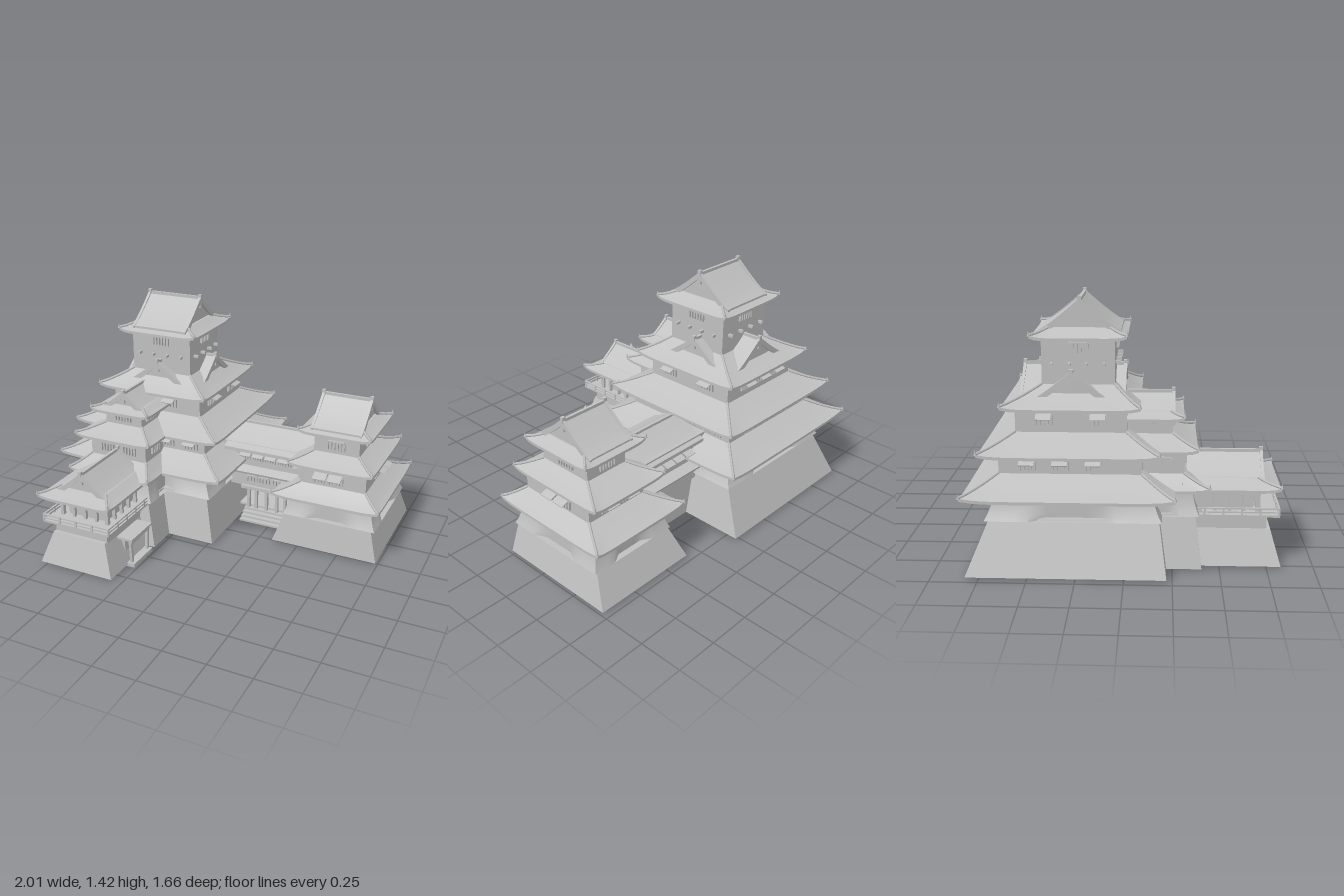
import * as THREE from 'three';
import { toCreasedNormals } from 'three/addons/utils/BufferGeometryUtils.js';

const plaster = new THREE.MeshStandardMaterial({ color: 0xc0c0c0, side: THREE.DoubleSide });
plaster.name = 'pale grey';

export function createModel() {
  const root = new THREE.Group();
  root.name = 'castle';

  const add = (name, geo, parent = root) => {
    const m = new THREE.Mesh(geo, plaster);
    m.name = name;
    parent.add(m);
    return m;
  };
  const box = (name, x0, x1, y0, y1, z0, z1, parent) => {
    const m = add(name, new THREE.BoxGeometry(x1 - x0, y1 - y0, z1 - z0), parent);
    m.position.set((x0 + x1) / 2, (y0 + y1) / 2, (z0 + z1) / 2);
    return m;
  };
  const mix = (a, b, t) => a.map((v, i) => v + (b[i] - v) * t);

  // Skin over stacked rectangles r = [x0, x1, z0, z1], closed on top; lift raises corners, flare widens them
  function loft(rings, n = 1, closeBottom = true) {
    const pos = [], idx = [], per = 4 * n;
    for (const { r, y, lift = 0, flare = 0 } of rings) {
      for (let j = 0; j < per; j++) {
        const side = Math.floor(j / n), t = (j % n) / n, s = Math.abs(2 * t - 1);
        const f = s > 0.45 ? flare : 0;
        const c = [[r[0] - f, r[3] + f], [r[1] + f, r[3] + f], [r[1] + f, r[2] - f], [r[0] - f, r[2] - f]];
        const [x, z] = mix(c[side], c[(side + 1) % 4], t);
        pos.push(x, y + lift * s ** 8, z);
      }
    }
    for (let i = 0; i < rings.length - 1; i++) {
      for (let j = 0; j < per; j++) {
        const a = i * per + j, b = i * per + (j + 1) % per;
        idx.push(a, b, b + per, a, b + per, a + per);
      }
    }
    const q = (rings.length - 1) * per;
    idx.push(q, q + n, q + 2 * n, q, q + 2 * n, q + 3 * n);
    if (closeBottom) idx.push(0, 2 * n, n, 0, 3 * n, 2 * n);
    const g = new THREE.BufferGeometry();
    g.setAttribute('position', new THREE.Float32BufferAttribute(pos, 3));
    g.setIndex(idx);
    return toCreasedNormals(g, 0.6);
  }

  // Hollow battered base, open underneath
  const stoneBase = (b, t, y1) => add('stoneBase', loft([{ r: b, y: 0.012 }, { r: t, y: y1 }], 1, false));
  const wall = (r, y0, y1) => box('wall', r[0], r[1], y0, y1, r[2], r[3]);
  const skirtWall = (r, y0, y1, f) => add('skirtWall', loft(
    [[0, 1], [0.2, 0.6], [0.45, 0.25], [0.75, 0], [1, 0]].map(([t, k]) => ({ r, y: y0 + (y1 - y0) * t, flare: f * k })), 12));

  // Curved hipped eave from outer rectangle e up to inner rectangle t, with hip ridges
  function eaveRoof(e, t, y0, y1) {
    const lift = 0.014, slope = [];
    for (let k = 0; k <= 5; k++) {
      const u = k / 5;
      slope.push({ r: mix(e, t, u), y: y0 + 0.016 + (y1 - y0 - 0.016) * u ** 1.15, lift: lift * (1 - u) ** 2 });
    }
    add('eaveRoof', loft([{ r: t, y: y0 + 0.012 }, { r: e, y: y0, lift }, ...slope], 16));
    for (const i of [0, 1]) for (const j of [2, 3]) {
      const pts = slope.map(({ r, y, lift: l }) => new THREE.Vector3(r[i], y + l + 0.004, r[j]));
      add('hipRidge', new THREE.TubeGeometry(new THREE.CatmullRomCurve3(pts), 8, 0.008, 5));
      const knob = add('hipEndTile', new THREE.ConeGeometry(0.009, 0.03, 5));
      knob.position.copy(pts[0]).y += 0.008;
    }
  }

  // Concave gable strip, ridge along z; from half width w at y0 up to y1
  function gableShape(w, h, thick) {
    const up = [], down = [];
    for (let i = -6; i <= 6; i++) {
      const t = i / 6, y = h * (1 - Math.abs(t)) ** 1.18;
      up.push(new THREE.Vector2(w * t, y));
      down.unshift(new THREE.Vector2(w * t, thick ? y - thick : -0.01));
    }
    return new THREE.Shape([...up, ...down]);
  }
  function gable(alongX, cx, cz, len, w, y0, y1, trim = true) {
    const g = new THREE.Group();
    g.name = 'gableRoof';
    const ext = (name, shape, depth, z) => {
      const geo = new THREE.ExtrudeGeometry(shape, { depth, bevelEnabled: false });
      add(name, toCreasedNormals(geo, 0.5), g).position.z = z - depth / 2;
    };
    const h = y1 - y0 - 0.012;
    ext('gableTiles', gableShape(w, h, 0.02), len, 0);
    ext('gableWall', gableShape(w * 0.9, h * 0.9 - 0.005, 0), len - 0.05, 0);
    box('ridge', -0.008, 0.008, h - 0.008, h + 0.01, -len / 2, len / 2, g);
    if (trim) for (const s of [-1, 1]) {
      const z = s * (len / 2 - 0.008);
      ext('bargeBoard', gableShape(w * 1.02, h + 0.012, 0.036), 0.016, z);
      box('ridgeEndTile', -0.01, 0.01, h - 0.01, h + 0.022, z - 0.01, z + 0.01, g);
      box('gablePendant', -0.012, 0.012, h - 0.06, h - 0.02, z - 0.007, z + 0.007, g);
    }
    g.position.set(cx, y0, cz);
    if (alongX) g.rotation.y = Math.PI / 2;
    root.add(g);
  }

  // Barred window facing dir (0 front, 1 left, 2 back, 3 right), with optional propped shutter
  function latticeWindow(x, y, z, dir, w = 0.08, shutter = true, h = 0.05) {
    const g = new THREE.Group();
    g.name = 'latticeWindow';
    box('lintel', -w / 2, w / 2, h / 2, h / 2 + 0.006, -0.005, 0.014, g);
    const n = Math.max(3, Math.round(w / 0.02));
    for (let i = 0; i <= n; i++) {
      const bx = -w / 2 + (w * i) / n;
      box('bar', bx - 0.005, bx + 0.005, -h / 2, h / 2, -0.004, 0.014, g);
    }
    if (shutter) {
      const s = box('shutter', -w / 2, w / 2, h / 2 - 0.002, h / 2 + 0.003, 0, 0.06, g);
      s.rotation.x = 0.35;
    }
    g.position.set(x, y, z);
    g.rotation.y = dir * Math.PI / 2;
    root.add(g);
  }
  // Rows of windows on chosen faces of a wall
  function windows(r, y, faces, w = 0.08, shutter = true) {
    for (const [dir, list] of Object.entries(faces)) for (const p of list) {
      const d = Number(dir);
      if (d % 2) latticeWindow(d === 1 ? r[1] : r[0], y, p, d, w, shutter);
      else latticeWindow(p, y, d === 0 ? r[3] : r[2], d, w, shutter);
    }
  }

  // Main keep
  const k2 = [-0.82, -0.08, -0.65, 0.09], k3 = [-0.74, -0.15, -0.57, 0.01], k4 = [-0.635, -0.245, -0.44, -0.055];
  stoneBase([-0.97, 0.03, -0.82, 0.22], [-0.865, -0.025, -0.7, 0.18], 0.3);
  skirtWall([-0.845, -0.045, -0.68, 0.15], 0.29, 0.45, 0.045);
  eaveRoof([-1, 0.09, -0.825, 0.26], k2, 0.425, 0.53);
  wall(k2, 0.44, 0.66);
  eaveRoof([-0.92, 0.03, -0.745, 0.18], k3, 0.63, 0.73);
  wall(k3, 0.64, 0.88);
  eaveRoof([-0.805, -0.09, -0.64, 0.08], k4, 0.848, 0.96);
  wall(k4, 0.86, 1.22);
  gable(false, -0.445, -0.28, 0.56, 0.22, 0.885, 1.045);
  gable(true, -0.445, -0.28, 0.54, 0.22, 0.885, 1.045);
  eaveRoof([-0.69, -0.185, -0.495, 0.01], [-0.61, -0.27, -0.4, -0.08], 1.197, 1.255);
  gable(true, -0.437, -0.24, 0.36, 0.215, 1.24, 1.41);
  windows(k2, 0.575, { 0: [-0.33, -0.17], 1: [-0.55, -0.4], 2: [-0.7, -0.53, -0.36, -0.19], 3: [-0.5, -0.33, -0.16] });
  windows(k3, 0.795, { 0: [-0.35], 1: [-0.42, -0.14], 2: [-0.58, -0.445, -0.31], 3: [-0.42, -0.14] });
  windows(k4, 1.155, { 0: [-0.44], 1: [-0.245], 2: [-0.44], 3: [-0.245] }, 0.1, false);
  for (let i = 0; i < 4; i++) {
    const x = -0.58 + i * 0.093, z = -0.385 + i * 0.091;
    box('beamEndZ', x - 0.007, x + 0.007, 1.062, 1.078, k4[2] - 0.03, k4[3] + 0.03);
    box('beamEndX', k4[0] - 0.03, k4[1] + 0.03, 1.062, 1.078, z - 0.007, z + 0.007);
  }

  // Front turret joined to the keep
  const f2 = [-0.735, -0.36, -0.1, 0.31], f3 = [-0.66, -0.415, -0.1, 0.25];
  stoneBase([-0.83, -0.265, 0.1, 0.405], [-0.77, -0.32, 0.1, 0.37], 0.3);
  skirtWall([-0.755, -0.325, 0, 0.355], 0.29, 0.45, 0.035);
  eaveRoof([-0.815, -0.28, -0.15, 0.44], f2, 0.425, 0.51);
  wall(f2, 0.44, 0.66);
  eaveRoof([-0.8, -0.3, -0.12, 0.38], f3, 0.63, 0.705);
  wall(f3, 0.64, 0.82);
  eaveRoof([-0.725, -0.345, -0.1, 0.31], [-0.66, -0.41, -0.1, 0.24], 0.782, 0.825);
  gable(false, -0.535, 0.09, 0.34, 0.147, 0.808, 0.915);
  windows(f3, 0.755, { 0: [-0.54], 1: [0.15], 3: [0.15] }, 0.1, false);
  windows(f2, 0.57, { 0: [-0.62, -0.47], 1: [0.2], 3: [0.2] }, 0.08, false);

  // Right-hand tower
  const e2 = [0.49, 0.89, -0.52, -0.03], e3 = [0.545, 0.82, -0.44, -0.1];
  stoneBase([0.34, 0.99, -0.715, 0.02], [0.41, 0.945, -0.63, 0], 0.2);
  skirtWall([0.435, 0.93, -0.605, -0.03], 0.2, 0.36, 0.035);
  eaveRoof([0.345, 0.995, -0.69, 0.07], e2, 0.333, 0.42);
  wall(e2, 0.34, 0.56);
  eaveRoof([0.425, 0.935, -0.615, 0.02], e3, 0.53, 0.605);
  wall(e3, 0.54, 0.74);
  eaveRoof([0.46, 0.895, -0.51, -0.045], [0.54, 0.82, -0.42, -0.13], 0.717, 0.768);
  gable(true, 0.68, -0.275, 0.31, 0.2, 0.755, 0.915);
  windows(e2, 0.465, { 0: [0.62, 0.71], 1: [-0.34, -0.25], 2: [0.61, 0.76], 3: [-0.08] }, 0.08);
  windows(e3, 0.655, { 0: [0.68], 1: [-0.28], 2: [0.68] }, 0.1, false);

  // Corridor with gateway between the towers
  box('corridorUpperWall', -0.08, 0.52, 0.38, 0.54, -0.47, -0.15);
  box('corridorLowerWall', -0.04, 0.46, 0.25, 0.4, -0.46, -0.16);
  gable(true, 0.25, -0.3, 0.58, 0.195, 0.52, 0.635, false);
  for (const [z, s] of [[-0.13, 1], [-0.49, -1]]) box('pentRoof', -0.03, 0.45, 0.375, 0.39, z - 0.04, z + 0.04).rotation.x = 0.35 * s;
  for (let i = 0; i < 4; i++) {
    latticeWindow(0.1 + i * 0.083, 0.465, -0.15, 0, 0.07);
    latticeWindow(0.1 + i * 0.083, 0.465, -0.47, 2, 0.07);
  }
  for (const x of [0.13, 0.21, 0.3]) latticeWindow(x, 0.305, -0.16, 0, 0.065, false, 0.035);
  box('gateLintel', 0.06, 0.38, 0.235, 0.255, -0.2, -0.14);
  box('gateBackWall', -0.02, 0.42, 0.012, 0.26, -0.44, -0.42);
  for (const x of [0.09, 0.14, 0.21, 0.28, 0.335]) box('gatePost', x - 0.009, x + 0.009, 0.08, 0.24, -0.21, -0.19);
  // Treads climbing to the gate floor
  for (let i = 0; i < 5; i++) box('gateStep', 0.06, 0.36, 0.012 + i * 0.016, 0.024 + i * 0.016, -0.155 - i * 0.025, -0.12 - i * 0.025);
  box('gateFloor', 0.02, 0.4, 0.076, 0.088, -0.42, -0.22);

  // Front gatehouse with balcony
  stoneBase([-0.785, -0.31, 0.38, 0.825], [-0.72, -0.375, 0.38, 0.77], 0.2);
  box('lowerStorey', -0.715, -0.37, 0.19, 0.29, 0.3, 0.75);
  box('balconyFloor', -0.755, -0.315, 0.278, 0.29, 0.38, 0.815);
  box('room', -0.665, -0.415, 0.28, 0.45, 0.3, 0.68);
  for (const y of [0.305, 0.325]) {
    box('frontRail', -0.755, -0.315, y - 0.004, y + 0.004, 0.805, 0.815);
    for (const x of [-0.755, -0.325]) box('sideRail', x, x + 0.01, y - 0.004, y + 0.004, 0.38, 0.815);
  }
  for (let i = 0; i < 5; i++) {
    const x = -0.75 + i * 0.1075, z = 0.42 + i * 0.0975;
    box('railPost', x - 0.005, x + 0.005, 0.28, 0.33, 0.805, 0.815);
    for (const px of [-0.75, -0.32]) box('railPost', px - 0.005, px + 0.005, 0.28, 0.33, z - 0.005, z + 0.005);
    const cx = -0.69 + i * 0.075, cz = 0.4 + i * 0.077;
    box('column', cx - 0.008, cx + 0.008, 0.28, 0.43, 0.69, 0.71);
    for (const px of [-0.69, -0.39]) box('column', px - 0.01, px + 0.01, 0.28, 0.43, cz - 0.008, cz + 0.008);
  }
  box('headBeam', -0.7, -0.38, 0.405, 0.43, 0.36, 0.715);
  eaveRoof([-0.78, -0.315, 0.3, 0.815], [-0.69, -0.395, 0.3, 0.7], 0.42, 0.475);
  gable(false, -0.54, 0.53, 0.41, 0.165, 0.46, 0.59);

  // Side entrance below the gatehouse
  box('entranceCanopy', -0.39, -0.27, 0.172, 0.186, 0.42, 0.65);
  box('entranceDoor', -0.36, -0.335, 0.012, 0.175, 0.45, 0.62);
  box('entranceLintel', -0.3, -0.28, 0.15, 0.165, 0.43, 0.64);
  for (const [z, s] of [[0.445, -1], [0.625, 1]]) {
    box('entrancePost', -0.3, -0.284, 0.012, 0.175, z - 0.009, z + 0.009).rotation.x = 0.07 * s;
  }
  box('entranceStep', -0.36, -0.265, 0, 0.024, 0.43, 0.64);

  return root;
}
